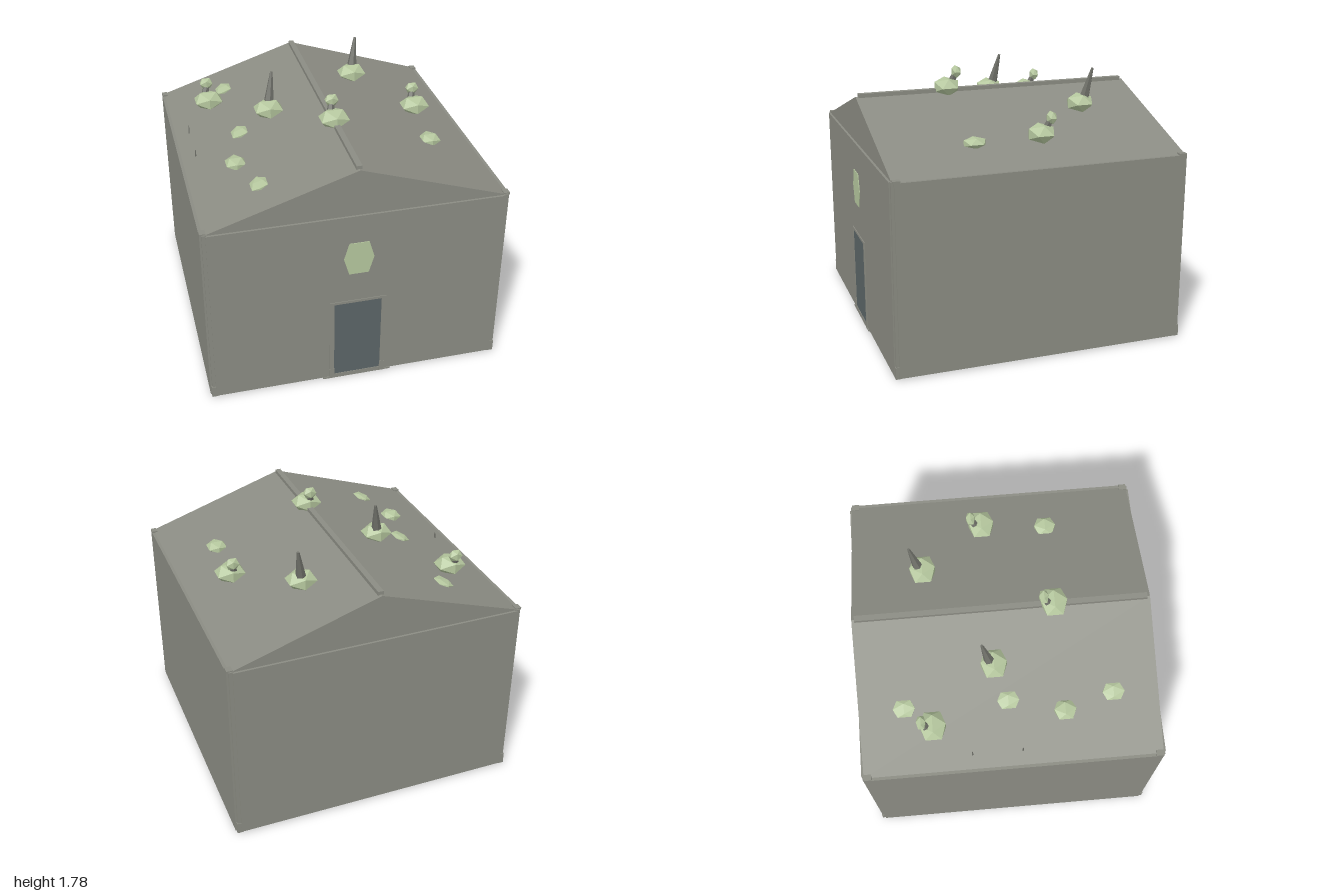
import * as THREE from 'three';

const stone = new THREE.MeshStandardMaterial({ color: 0x8b8c83, flatShading: true });
const leaf = new THREE.MeshStandardMaterial({ color: 0xb5c79e, flatShading: true });
const slate = new THREE.MeshStandardMaterial({ color: 0x5b6567, flatShading: true });
const bark = new THREE.MeshStandardMaterial({ color: 0x70716a, flatShading: true });
stone.name = 'stone grey';
leaf.name = 'pale green';
slate.name = 'door slate';
bark.name = 'dark stem';

const EAVE = 1.29, RIDGE = 1.61, HALF = 0.98;
const roofY = x => RIDGE - (RIDGE - EAVE) * Math.abs(x) / HALF;

export function createModel() {
  const root = new THREE.Group();
  const add = (name, geo, mat, x, y, z, parent = root) => {
    const m = new THREE.Mesh(geo, mat);
    m.name = name;
    m.position.set(x, y, z);
    parent.add(m);
    return m;
  };
  // box given by its lower and upper corners
  const box = (name, a, b, mat = stone) => add(name,
    new THREE.BoxGeometry(b[0] - a[0], b[1] - a[1], b[2] - a[2]), mat,
    (a[0] + b[0]) / 2, (a[1] + b[1]) / 2, (a[2] + b[2]) / 2);

  // walls: two crossing blocks leave a notch at each corner for the posts
  box('frontAndBackWalls', [-0.965, 0.01, -0.995], [0.965, EAVE, 0.995]);
  box('sideWalls', [-1, 0.01, -0.97], [1, EAVE, 0.97]);
  for (const sx of [-1, 1]) for (const sz of [-1, 1]) {
    const post = (name, h, half, c) => add(name, new THREE.BoxGeometry(half * 2, h, half * 2),
      stone, sx * c, h / 2 + 0.005, sz * c);
    post('cornerPost', EAVE, 0.016, 0.972);
    post('postFoot', 0.08, 0.02, 0.973);
    // short ties at the eaves
    add('eaveTie', new THREE.BoxGeometry(0.04, 0.015, 0.05), stone, sx * 0.98, 1.295, sz * 0.955);
  }

  // gabled roof
  const gable = new THREE.Shape([
    new THREE.Vector2(-HALF, EAVE), new THREE.Vector2(HALF, EAVE), new THREE.Vector2(0, RIDGE)]);
  add('roof', new THREE.ExtrudeGeometry(gable, { depth: 1.96, bevelEnabled: false }), stone, 0, 0, -0.98);
  box('ridgeBeam', [-0.019, 1.59, -0.96], [0.019, 1.63, 0.96]);

  // doorway
  box('doorPanel', [-0.165, 0.03, 0.99], [0.165, 0.625, 0.997], slate);
  for (const s of [-1, 1]) {
    add('doorJamb', new THREE.BoxGeometry(0.03, 0.64, 0.02), stone, s * 0.175, 0.32, 0.99);
    add('jambFoot', new THREE.BoxGeometry(0.035, 0.08, 0.022), stone, s * 0.175, 0.04, 0.99);
  }
  box('doorLintel', [-0.19, 0.622, 0.98], [0.19, 0.64, 1]);
  box('doorSill', [-0.16, 0.005, 0.98], [0.16, 0.033, 1]);
  box('threshold', [-0.235, 0, 0.95], [0.235, 0.012, 1]);

  // six-sided window above the door
  const hex = new THREE.Shape([[-0.1, 0], [-0.065, -0.118], [0.065, -0.118], [0.1, 0],
    [0.065, 0.118], [-0.065, 0.118]].map(p => new THREE.Vector2(...p)));
  add('gableWindow', new THREE.ExtrudeGeometry(hex, { depth: 0.005, bevelEnabled: false }),
    leaf, 0, 0.973, 0.995);

  // faceted growths on the roof
  const blob = (name, parent, x, y, z, rx, ry, rz) => {
    const g = new THREE.IcosahedronGeometry(1, 0);
    const m = add(name, g, leaf, x, y, z, parent);
    m.scale.set(rx, ry, rz);
    return m;
  };
  const stem = (parent, from, to, r0, r1) => {
    const a = new THREE.Vector3(...from), b = new THREE.Vector3(...to), d = b.clone().sub(a);
    const m = add('stem', new THREE.CylinderGeometry(r1, r0, d.length(), 6), bark, 0, 0, 0, parent);
    m.position.copy(a).add(b).multiplyScalar(0.5);
    m.quaternion.setFromUnitVectors(new THREE.Vector3(0, 1, 0), d.normalize());
  };
  const plant = (name, x, y, z) => {
    const g = new THREE.Group();
    g.name = name;
    g.position.set(x, y, z);
    root.add(g);
    blob('cap', g, 0, 0, 0, 0.11, 0.067, 0.1);
    return g;
  };

  // plants with a small bud on a leaning stem
  for (const [x, y, z] of [[-0.71, 1.44, -0.505], [0.7, 1.44, -0.08], [0, 1.64, 0.345]]) {
    const g = plant('budPlant', x, y, z);
    stem(g, [-0.02, 0, -0.03], [0, 0.09, -0.065], 0.03, 0.02);
    blob('bud', g, 0, 0.098, -0.07, 0.051, 0.046, 0.036);
  }
  // plants with a tall spike
  for (const [x, z] of [[-0.355, -0.08], [0.35, -0.5]]) {
    const g = plant('spikePlant', x, 1.54, z);
    stem(g, [0.005, 0, -0.02], [0.042, 0.24, -0.07], 0.04, 0.009);
  }
  // low clumps and flat moss pads
  for (const s of [-1, 1]) blob('clump', root, s * 0.665, 1.405, 0.36, 0.076, 0.04, 0.085);
  for (const z of [-0.685, -0.005, 0.685]) {
    const m = blob('mossPad', root, -0.575, roofY(0.575) + 0.002, z, 0.064, 0.02, 0.085);
    m.rotation.z = Math.atan2(RIDGE - EAVE, HALF);
  }
  // thin twigs near the eave
  for (const [z, h] of [[-0.265, 0.06], [0.065, 0.045]])
    stem(root, [-0.89, 1.31, z], [-0.888, 1.32 + h, z], 0.006, 0.003);

  return root;
}
